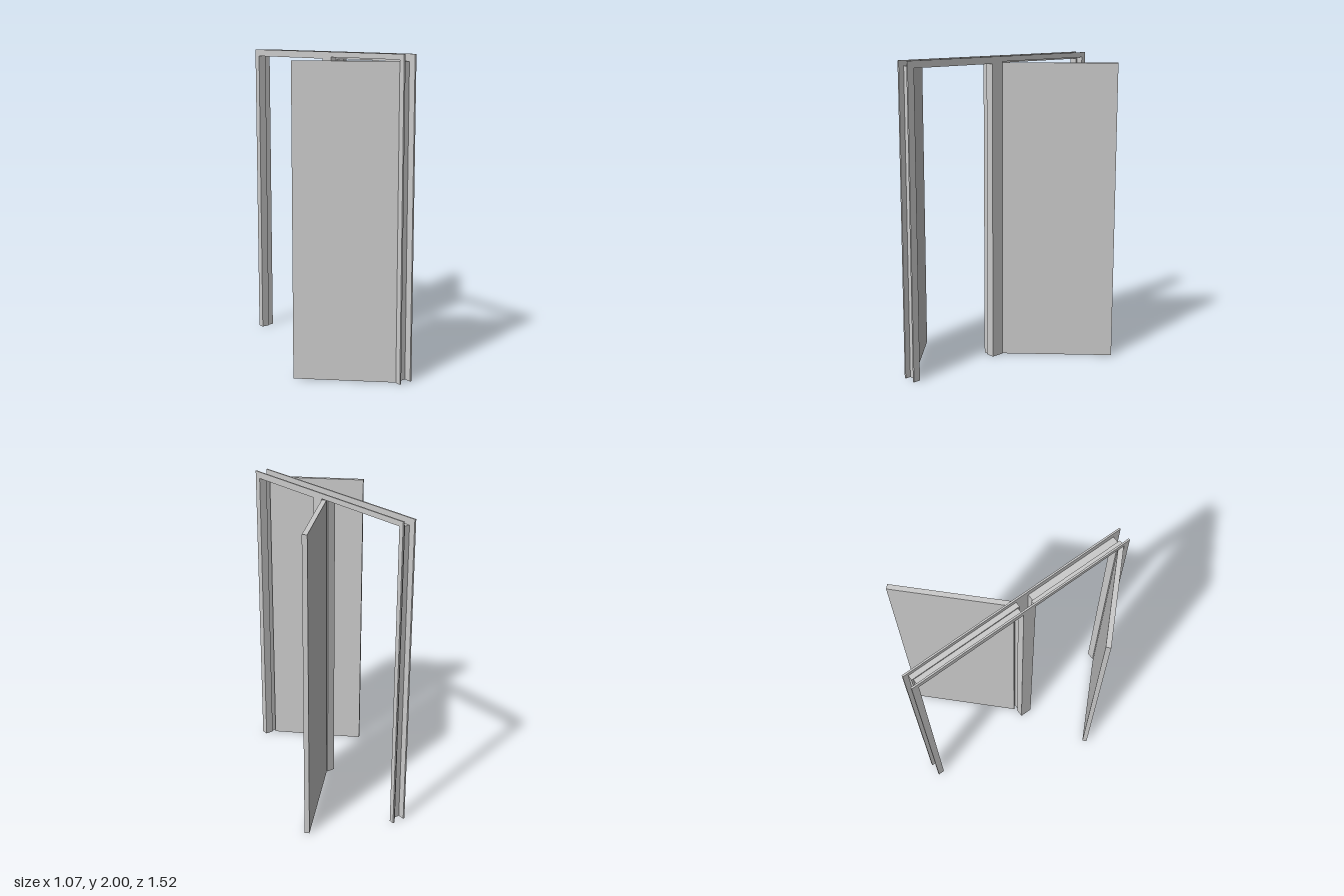
import * as THREE from 'three';

const material = new THREE.MeshStandardMaterial({ color: 0xcccccc, side: THREE.DoubleSide, flatShading: true });
const HEIGHT = 2, END = 0.76;
const FACE = 0.011;                 // thickness of the face plates
const X0 = -0.075, X1 = 0;          // space between the two face plates
const STEP = 0.011;                 // depth of the door rebate
const HEAD = 1.967;                 // underside of the head at the rebate

// Each opening: z range at the rebate, x of the stop, side on which the door opens
const openings = [
  { name: 'front', z0: 0.084, z1: 0.724, stop: -0.044, side: -1 },
  { name: 'back', z0: -0.728, z1: 0.01, stop: -0.032, side: 1 },
];

function addMesh(parent, name, geometry) {
  const mesh = new THREE.Mesh(geometry, material);
  mesh.name = name;
  parent.add(mesh);
  return mesh;
}

// Face plate around both openings; the hole is narrower on the side without a rebate
function facePlate(side) {
  const points = [[END, 0], [END, HEIGHT], [-END, HEIGHT], [-END, 0]];
  for (const o of [...openings].reverse()) {
    const inset = o.side === side ? 0 : STEP;
    const a = o.z0 + inset, b = o.z1 - inset, top = HEAD - inset;
    points.push([a, 0], [a, top], [b, top], [b, 0]);
  }
  const shape = new THREE.Shape(points.map(([z, y]) => new THREE.Vector2(-z, y)));
  const geometry = new THREE.ExtrudeGeometry(shape, { depth: FACE, bevelEnabled: false });
  return geometry.rotateY(Math.PI / 2);
}

// Thin stepped lining swept up one side, across the head and down the other
function lining({ z0, z1, stop, side }) {
  const left = side < 0 ? 0 : STEP, right = STEP - left;
  const profile = [[X0, left], [stop, left], [stop, right], [X1, right]];
  const rings = profile.map(([x, d]) => [
    [x, 0, z0 + d], [x, HEAD - d, z0 + d], [x, HEAD - d, z1 - d], [x, 0, z1 - d],
  ]);
  const positions = [];
  for (let i = 0; i < 3; i++) {
    for (let j = 0; j < 3; j++) {
      const a = rings[i][j], b = rings[i + 1][j], c = rings[i + 1][j + 1], d = rings[i][j + 1];
      positions.push(...a, ...c, ...b, ...a, ...d, ...c);
    }
  }
  const geometry = new THREE.BufferGeometry();
  geometry.setAttribute('position', new THREE.Float32BufferAttribute(positions, 3));
  geometry.computeVertexNormals();
  return geometry;
}

// Door leaf with its hinge corner at the origin, running towards -z when closed
function doorLeaf(length, side) {
  const thickness = 0.031, height = 1.958;
  return new THREE.BoxGeometry(thickness, height, length)
    .translate(-side * thickness / 2, height / 2 + 0.002, -length / 2);
}

export function createModel() {
  const model = new THREE.Group();
  model.name = 'doubleDoorFrame';

  // Face plates on both sides of the wall
  addMesh(model, 'rightFacePlate', facePlate(-1)).position.x = X0 - FACE;
  addMesh(model, 'leftFacePlate', facePlate(1)).position.x = X1;

  // Linings and half-open doors
  for (const o of openings) {
    addMesh(model, o.name + 'Lining', lining(o));
    const door = addMesh(model, o.name + 'Door', doorLeaf(o.z1 - o.z0 - 0.003, o.side));
    door.position.set(o.side < 0 ? X0 - FACE + 0.002 : X1 + FACE, 0, o.z1 - 0.002);
    door.rotation.y = -o.side * Math.PI / 4;
  }
  return model;
}
